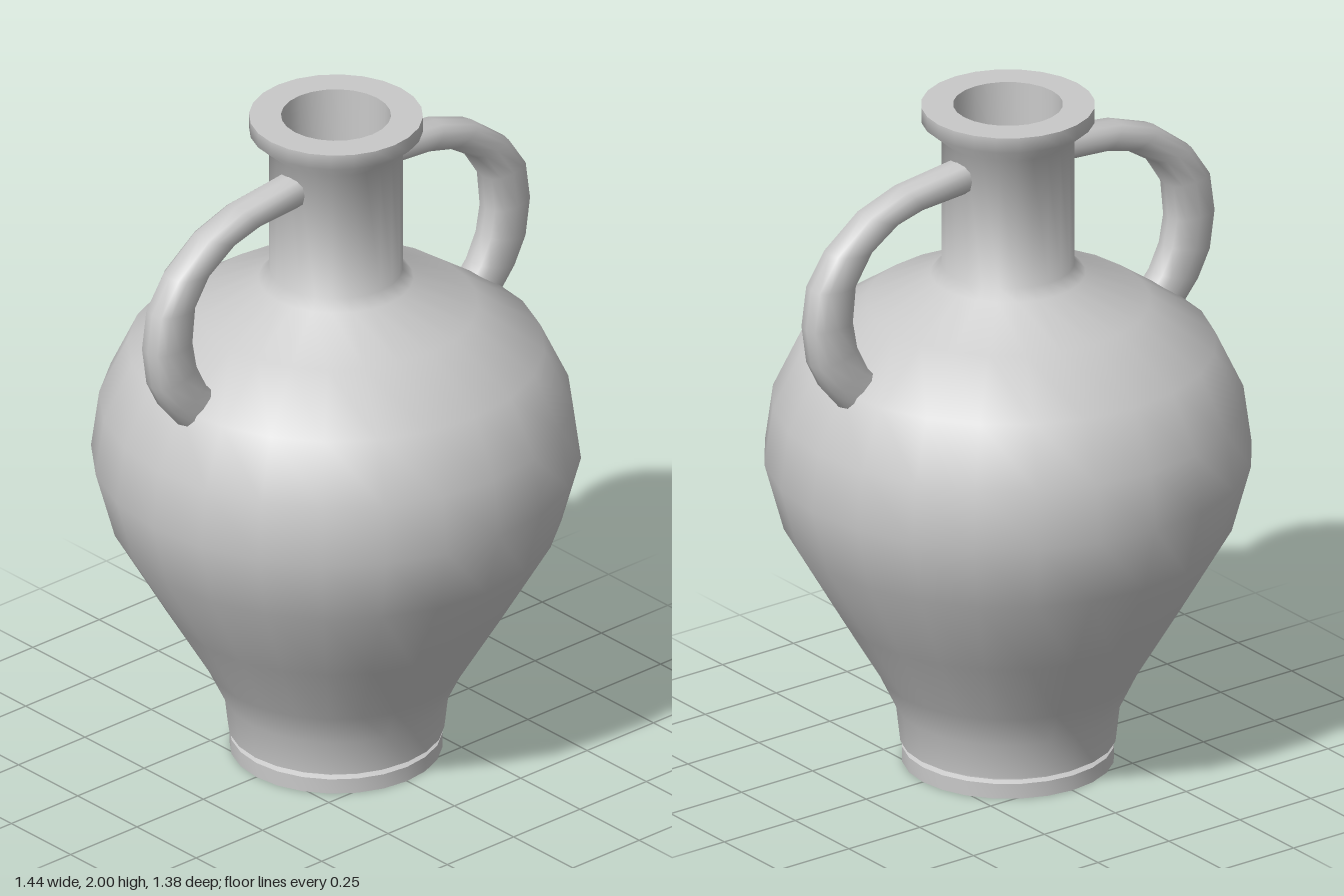
import * as THREE from 'three';
import { toCreasedNormals } from 'three/addons/utils/BufferGeometryUtils.js';

const clay = new THREE.MeshStandardMaterial({ color: 0xc8c8c8 });
clay.name = 'grey clay';

// Revolved part from [radius, height] pairs, running up the outside
function revolve(name, profile) {
  const points = profile.map(([r, y]) => new THREE.Vector2(r, y));
  const mesh = new THREE.Mesh(toCreasedNormals(new THREE.LatheGeometry(points, 24), 1.05), clay);
  mesh.name = name;
  return mesh;
}

// Handle: oval rings spanned between an outer and an inner edge point
function handleGeometry() {
  const rings = [
    [0.165, 1.875, 0.165, 1.783], [0.386, 1.847, 0.33, 1.772],
    [0.519, 1.80, 0.413, 1.751], [0.638, 1.709, 0.503, 1.693], [0.702, 1.614, 0.561, 1.603],
    [0.719, 1.497, 0.571, 1.497], [0.702, 1.381, 0.556, 1.418], [0.66, 1.30, 0.52, 1.345],
    [0.593, 1.22, 0.48, 1.30],
  ];
  const sides = 12, halfWidth = 0.054, positions = [], index = [];
  const soften = (v) => Math.sign(v) * Math.abs(v) ** 0.75;
  for (const [ox, oy, ix, iy] of rings) {
    for (let k = 0; k < sides; k++) {
      const a = (k / sides) * Math.PI * 2;
      const t = (1 + soften(Math.cos(a))) / 2;
      positions.push(ix + (ox - ix) * t, iy + (oy - iy) * t, soften(Math.sin(a)) * halfWidth);
    }
  }
  for (let i = 0; i < rings.length - 1; i++) {
    for (let k = 0; k < sides; k++) {
      const a = i * sides + k, b = i * sides + (k + 1) % sides;
      index.push(a, b, a + sides, b, b + sides, a + sides);
    }
  }
  // Flat ends
  const last = (rings.length - 1) * sides;
  for (let k = 1; k < sides - 1; k++) {
    index.push(0, k + 1, k, last, last + k, last + k + 1);
  }
  const geometry = new THREE.BufferGeometry();
  geometry.setAttribute('position', new THREE.Float32BufferAttribute(positions, 3));
  geometry.setIndex(index);
  return toCreasedNormals(geometry, 1.05);
}

export function createModel() {
  const vase = new THREE.Group();
  vase.name = 'vase';

  vase.add(revolve('foot', [[0, 0], [0.30, 0], [0.30, 0.045], [0.285, 0.052]]));

  // Belly, shoulder, neck and flared lip
  vase.add(revolve('body', [
    [0.285, 0.052], [0.285, 0.058], [0.305, 0.064], [0.317, 0.17], [0.365, 0.27], [0.487, 0.475],
    [0.635, 0.73], [0.69, 0.93], [0.667, 1.10], [0.587, 1.27], [0.40, 1.40],
    [0.219, 1.485], [0.188, 1.515], [0.188, 1.905], [0.245, 1.955], [0.245, 2],
  ]));

  // Rim, inner wall and closed bottom of the mouth
  vase.add(revolve('mouth', [[0.245, 2], [0.155, 2], [0.143, 1.5], [0, 1.5]]));

  // Two handles, the second turned half way round
  const geometry = handleGeometry();
  [['leftHandle', 0], ['rightHandle', Math.PI]].forEach(([name, turn]) => {
    const pivot = new THREE.Group();
    pivot.name = name;
    const handle = new THREE.Mesh(geometry, clay);
    handle.name = name + 'Loop';
    handle.position.z = -0.01;
    pivot.add(handle);
    pivot.rotation.y = turn;
    vase.add(pivot);
  });

  return vase;
}
